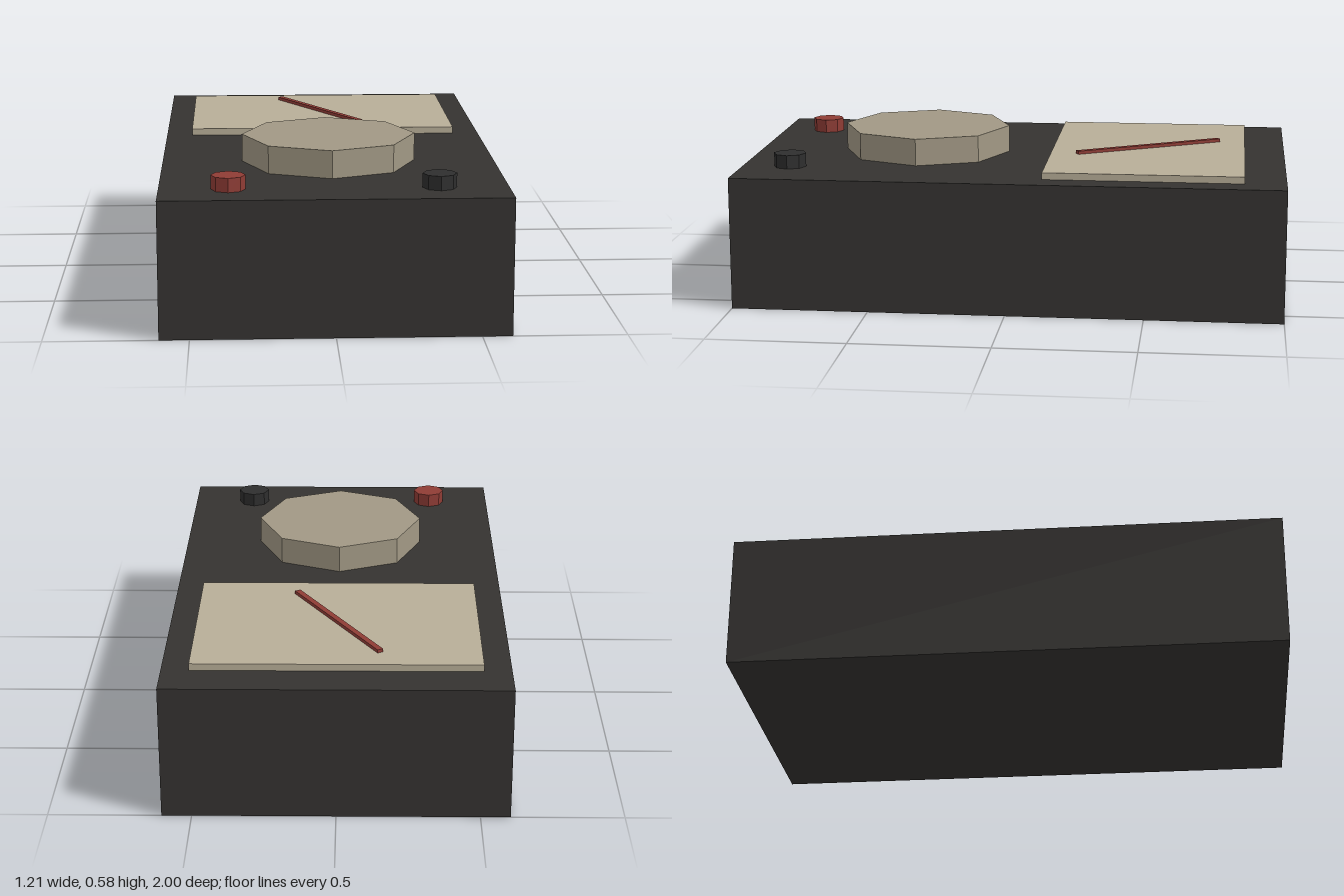
import * as THREE from 'three';

export function createModel() {
  const model = new THREE.Group();
  const top = 0.485; // height of the case's upper face

  const add = (name, geometry, color, x, y, z) => {
    const material = new THREE.MeshStandardMaterial({ color, flatShading: true });
    const mesh = new THREE.Mesh(geometry, material);
    mesh.name = name;
    mesh.position.set(x, y, z);
    model.add(mesh);
    return mesh;
  };
  const octagon = (radius, height) => new THREE.CylinderGeometry(radius, radius, height, 8);

  // Case
  add('case', new THREE.BoxGeometry(1.21, top, 2), 0x353331, 0, top / 2, 0);

  // Meter face and its slanted needle
  add('meterFace', new THREE.BoxGeometry(1.015, 0.025, 0.725), 0xb8ae98, 0, top + 0.0125, -0.4875);
  const needle = add('needle', new THREE.BoxGeometry(0.022, 0.012, 0.605), 0x8f3c35, 0, 0.516, -0.4875);
  needle.rotation.y = Math.PI / 6;

  // Selector dial
  add('dial', octagon(0.315, 0.1), 0xa19884, 0, top + 0.05, 0.363);

  // Probe sockets
  add('rightSocket', octagon(0.06, 0.05), 0x8f3c35, -0.364, top + 0.025, 0.824);
  add('leftSocket', octagon(0.06, 0.05), 0x2e2e2e, 0.364, top + 0.025, 0.824);

  return model;
}
